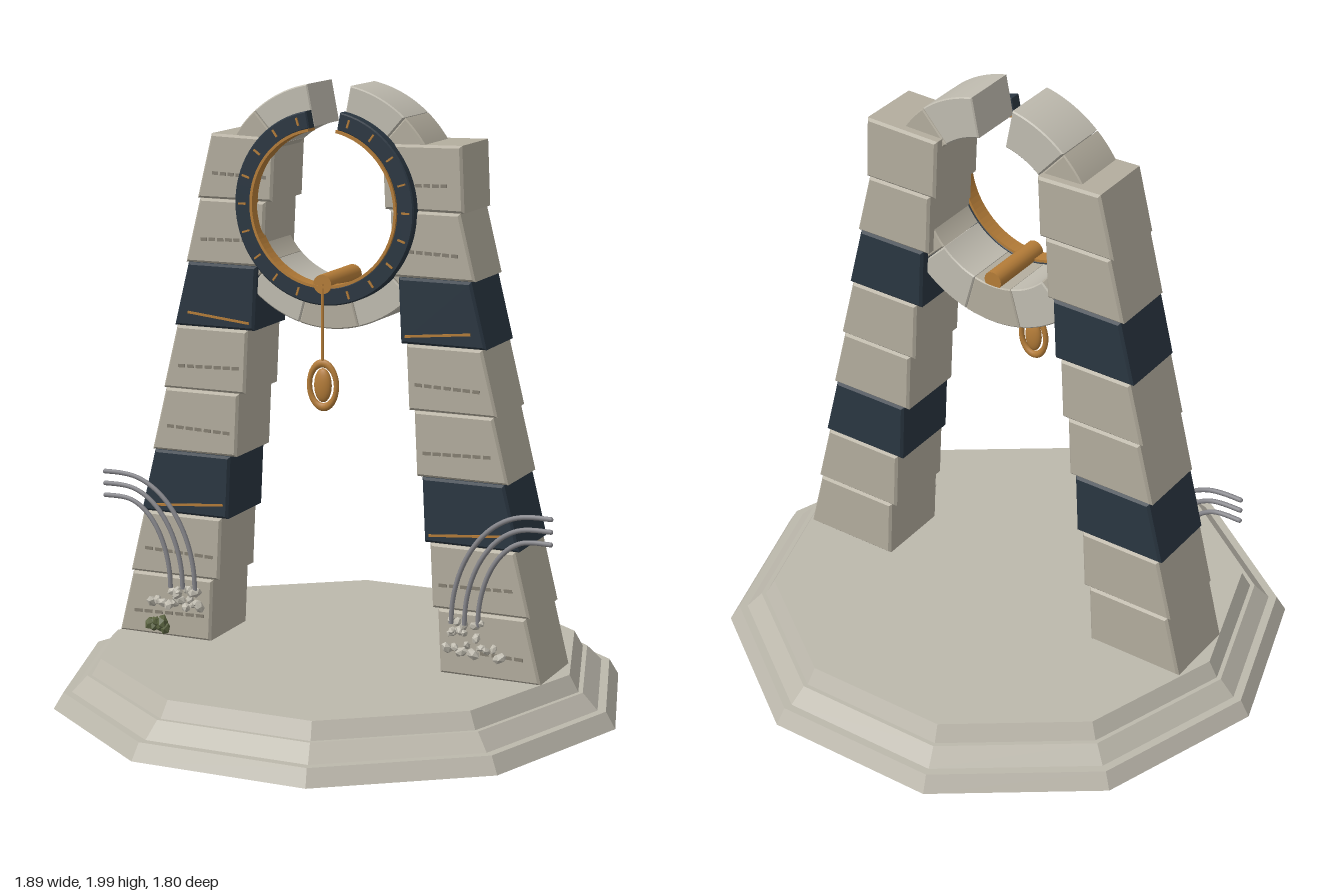
import * as THREE from 'three';

const mat = (color, extra = {}) => new THREE.MeshStandardMaterial({ color, ...extra });
const STONE = mat(0xb3ad9e), PALE = mat(0xc0bcb0), DARK = mat(0x2a3641), GOLD = mat(0xb47c38);
const BASE = mat(0xbcb8ac), GROOVE = mat(0x857f72), CABLE = mat(0x85858a), MOSS = mat(0x59623f);
const RING_Y = 1.612;

function add(parent, name, geometry, material, x = 0, y = 0, z = 0) {
  const mesh = new THREE.Mesh(geometry, material);
  mesh.name = name;
  mesh.position.set(x, y, z);
  parent.add(mesh);
  return mesh;
}

// Extrusion between two z values with a small chamfer that stays inside the outline
function slab(shape, z0, z1, b = 0.008) {
  const g = new THREE.ExtrudeGeometry(shape, {
    depth: z1 - z0 - 2 * b, bevelEnabled: b > 0, bevelSize: b, bevelThickness: b,
    bevelOffset: -b, bevelSegments: 1, curveSegments: 40,
  });
  return g.translate(0, 0, z0 + b);
}

// Part of a flat ring between two angles
function sector(r0, r1, a0, a1) {
  const s = new THREE.Shape();
  s.absarc(0, 0, r1, a0, a1, false);
  s.absarc(0, 0, r0, a1, a0, true);
  s.closePath();
  return s;
}

// Stepped ten-sided plinth
function plinth() {
  const g = new THREE.Group();
  g.name = 'plinth';
  const tiers = [[0.945, 0.913, 0, 0.053], [0.885, 0.835, 0.053, 0.105], [0.82, 0.79, 0.105, 0.158]];
  for (const [rb, rt, y0, y1] of tiers) {
    const geo = new THREE.CylinderGeometry(rt, rb, y1 - y0, 10, 1).rotateY(Math.PI / 10 * 5).toNonIndexed();
    geo.computeVertexNormals();
    add(g, 'plinthTier', geo, BASE, 0, (y0 + y1) / 2, 0);
  }
  return g;
}

// Leaning pillar of eight overlapping wedge blocks; side is +1 or -1
function pillar(side) {
  const g = new THREE.Group();
  g.name = side > 0 ? 'leftPillar' : 'rightPillar';
  const h = 0.2085;
  for (let k = 0; k < 8; k++) {
    const y0 = 0.157 + k * h, y1 = y0 + h;
    const inner = 0.408 - k * 0.0305, outer = 0.745 - k * 0.0408;
    const outerTop = side > 0 && k === 7 ? 0.45 : outer - 0.052;
    const dark = k === 2 || k === 5;
    const front = 0.147 - 0.0055 * k;
    const pts = [[inner, y0], [outer, y0], [outerTop, y1], [inner - 0.01, y1 - (k === 7 ? 0.006 : 0)]]
      .map(([x, y]) => new THREE.Vector2(x * side, y));
    if (side < 0) pts.reverse();
    add(g, dark ? 'darkBlock' : 'stoneBlock', slab(new THREE.Shape(pts), -0.122, front), dark ? DARK : STONE);

    const mid = side * (inner + outer - 0.035) / 2, w = outer - inner - 0.07;
    if (dark) { // gold inlay line
      const inlay = add(g, 'goldInlay', new THREE.BoxGeometry(w + 0.005, 0.008, 0.006), GOLD, mid, y0 + 0.035, front);
      inlay.rotation.z = k === 2 ? 0.09 : side * 0.1;
    } else { // dashed groove
      const row = new THREE.Group();
      row.name = 'dashedGroove';
      row.position.set(mid, y0 + 0.08, front);
      row.rotation.z = 0.03 * (k % 2 ? 1 : -1) * side;
      const n = 7, step = w / n;
      for (let i = 0; i < n; i++)
        add(row, 'dash', new THREE.BoxGeometry(step * 0.75, 0.011, 0.004), GROOVE, (i - (n - 1) / 2) * step, 0, 0);
      g.add(row);
    }
  }
  return g;
}

// Broken stone ring with dark dial, gold lip and hour marks
function ring() {
  const g = new THREE.Group();
  g.name = 'brokenRing';
  g.position.y = RING_Y;
  const gap = 0.19, start = Math.PI / 2 + gap, sweep = Math.PI * 2 - 2 * gap, n = 11;
  for (let i = 0; i < n; i++) {
    const a0 = start + sweep * i / n, a1 = start + sweep * (i + 1) / n;
    add(g, 'ringStone', slab(sector(0.255, 0.388, a0 + 0.003, a1 - 0.003), -0.09, 0.1, 0.004), i % 2 ? STONE : PALE);
  }
  add(g, 'darkDial', slab(sector(0.25, 0.307, start, start + sweep), 0.098, 0.142, 0.004), DARK);
  add(g, 'goldLip', slab(sector(0.243, 0.252, start, start + sweep), 0.1, 0.15, 0), GOLD);
  for (let i = 1; i < 20; i++) {
    const a = Math.PI / 2 + i * Math.PI / 10;
    const mark = add(g, 'dialMark', new THREE.BoxGeometry(0.026, 0.006, 0.008), GOLD,
      0.281 * Math.cos(a), 0.281 * Math.sin(a), 0.143);
    mark.rotation.z = a;
  }
  return g;
}

// Axle through the ring with a hanging oval bob
function pendulum() {
  const g = new THREE.Group();
  g.name = 'pendulum';
  add(g, 'axle', new THREE.CylinderGeometry(0.031, 0.031, 0.235, 20).rotateX(Math.PI / 2), GOLD, 0, 1.373, 0.03);
  add(g, 'pendulumRod', new THREE.CylinderGeometry(0.005, 0.005, 0.25, 8), GOLD, 0, 1.25, 0.145);
  add(g, 'bobRim', new THREE.TorusGeometry(0.047, 0.009, 8, 32).scale(1, 1.5, 1), GOLD, 0, 1.05, 0.143);
  add(g, 'bob', new THREE.SphereGeometry(1, 20, 14).scale(0.03, 0.055, 0.016), GOLD, 0, 1.05, 0.143);
  return g;
}

// Three bent cables sprouting from the foot of a pillar
function cables(side) {
  const g = new THREE.Group();
  g.name = 'cables';
  for (let i = 0; i < 3; i++) {
    const top = 0.7 - i * 0.04, end = 0.452 + i * 0.045, pts = [new THREE.Vector3(side * 0.78, top, 0.166)];
    for (let j = 0; j <= 8; j++) {
      const a = Math.PI / 2 * (1 - j / 8);
      pts.push(new THREE.Vector3(side * (0.72 - (0.72 - end) * Math.cos(a)), 0.33 + (top - 0.33) * Math.sin(a), 0.166));
    }
    add(g, 'cable', new THREE.TubeGeometry(new THREE.CatmullRomCurve3(pts), 32, 0.008, 8), CABLE);
    add(g, 'cableEnd', new THREE.SphereGeometry(0.008, 8, 6), CABLE, side * 0.78, top, 0.166);
  }
  return g;
}

// Small stones and moss clinging to a pillar foot
function rubble(side) {
  const g = new THREE.Group();
  g.name = 'rubble';
  let seed = side > 0 ? 7 : 23;
  const rnd = () => (seed = (seed * 16807) % 2147483647) / 2147483647;
  const chunk = (name, x, y, r, m) => {
    const c = add(g, name, new THREE.IcosahedronGeometry(r, 0), m, side * x, y, 0.155 + rnd() * 0.015);
    c.scale.set(1.2, 0.8, 0.8);
    c.rotation.set(rnd() * 3, rnd() * 3, rnd() * 3);
  };
  for (let i = 0; i < 10; i++) chunk('pebble', 0.45 + rnd() * 0.11, 0.285 + rnd() * 0.06, 0.012 + rnd() * 0.01, PALE);
  for (let i = 0; i < 9; i++)
    chunk('pebble', 0.44 + i * 0.022, (side > 0 ? 0.235 : 0.26) + rnd() * 0.03, 0.012 + rnd() * 0.01, PALE);
  if (side < 0)
    for (let i = 0; i < 8; i++) chunk('moss', 0.53 + rnd() * 0.09, 0.185 + rnd() * 0.035, 0.014 + rnd() * 0.01, MOSS);
  return g;
}

export function createModel() {
  const model = new THREE.Group();
  model.name = 'brokenClockArch';
  model.add(plinth(), ring(), pendulum());
  for (const side of [-1, 1]) model.add(pillar(side), cables(side), rubble(side));
  return model;
}
